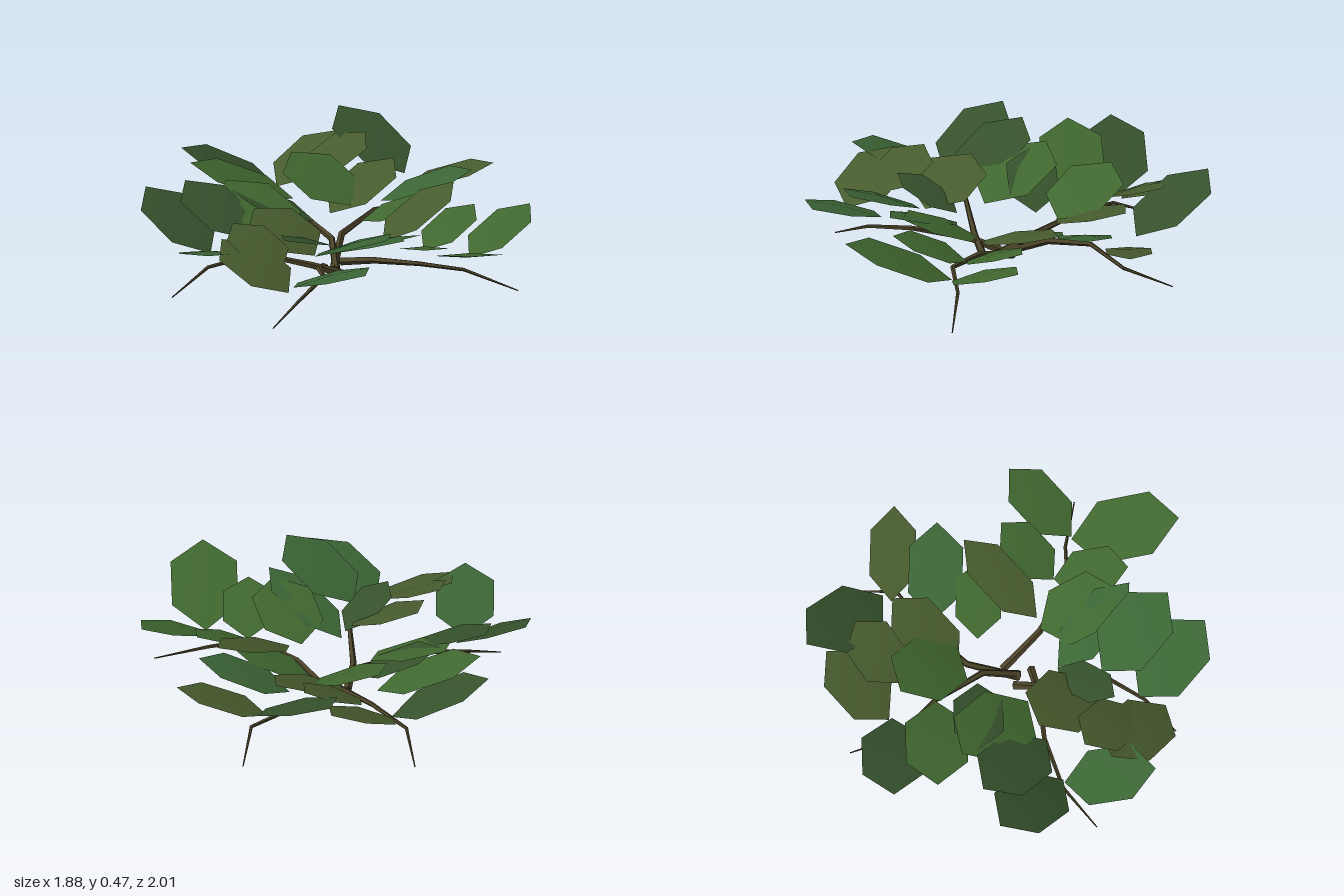
import * as THREE from 'three';

const BARK = 0x4a4228;
const GREENS = { leaf: 0x40682f, olive: 0x485c2e, deep: 0x36522c, cool: 0x3c6636 };

// Leaves: [x, z, heading of the raised tip in degrees, half length, half width, base height, rise, green]
const FRONT_LEAVES = [
  [0.05, 0.80, 133, 0.26, 0.16, 0.19, 0.22, 'leaf'],
  [0.02, 0.53, 135, 0.18, 0.12, 0.19, 0.15, 'leaf'],
  [-0.07, 0.35, 115, 0.20, 0.15, 0.20, 0.17, 'leaf'],
  [-0.18, 0.34, 90, 0.25, 0.11, 0.19, 0.20, 'cool'],
  [-0.37, 0.43, 90, 0.23, 0.15, 0.27, 0.20, 'cool'],
  [-0.57, 0.48, 90, 0.23, 0.15, 0.19, 0.17, 'cool'],
  [0.445, 0.62, 0, 0.21, 0.115, 0.19, 0.16, 'leaf'],
  [0.32, 0.40, 0, 0.175, 0.105, 0.19, 0.14, 'leaf'],
  [0.31, 0.20, 0, 0.245, 0.105, 0.20, 0.17, 'olive'],
  [0.32, 0.06, 48, 0.18, 0.11, 0.19, 0.13, 'leaf'],
];
const SIDE_LEAVES = [
  [0.56, 0.01, 48, 0.22, 0.13, 0.21, 0.17, 'cool'],
  [0.78, -0.06, 48, 0.22, 0.11, 0.19, 0.14, 'olive'],
  [-0.77, -0.16, 135, 0.22, 0.14, 0.19, 0.17, 'cool'],
  [-0.71, 0.10, -95, 0.21, 0.15, 0.19, 0.17, 'olive'],
  [-0.60, 0.01, -90, 0.17, 0.13, 0.25, 0.14, 'olive'],
  [-0.355, -0.05, -95, 0.19, 0.165, 0.23, 0.15, 'olive'],
  [-0.36, 0.10, 172, 0.17, 0.09, 0.23, 0.13, 'deep'],
];
const BACK_LEAVES = [
  [0.05, -0.82, -135, 0.235, 0.15, 0.19, 0.21, 'deep'],
  [-0.06, -0.63, -135, 0.25, 0.15, 0.22, 0.19, 'leaf'],
  [-0.20, -0.37, -90, 0.23, 0.17, 0.20, 0.17, 'leaf'],
  [-0.10, -0.38, -135, 0.20, 0.12, 0.19, 0.16, 'deep'],
  [-0.41, -0.45, -90, 0.22, 0.15, 0.23, 0.18, 'deep'],
  [-0.60, -0.53, -90, 0.22, 0.15, 0.19, 0.22, 'deep'],
  [0.69, -0.49, -85, 0.245, 0.15, 0.25, 0.20, 'deep'],
  [0.43, -0.67, 0, 0.21, 0.13, 0.19, 0.17, 'olive'],
  [0.465, -0.50, 8, 0.17, 0.125, 0.27, 0.14, 'olive'],
  [0.23, -0.38, -90, 0.20, 0.165, 0.23, 0.165, 'leaf'],
  [0.38, -0.25, 0, 0.22, 0.13, 0.19, 0.16, 'olive'],
];

// Stem centre lines, from the middle out to the drooping tips
const STEMS = [
  [[0.045, 0.03, -0.06], [0.03, 0.11, 0.18], [0.08, 0.15, 0.43], [0.24, 0.115, 0.58], [0.39, 0.025, 0.80]],
  [[-0.05, 0.02, -0.08], [-0.18, 0.08, 0.01], [-0.36, 0.15, 0.22], [-0.58, 0.115, 0.28], [-0.78, 0.025, 0.29]],
  [[-0.05, 0.02, 0.04], [-0.18, 0.08, -0.04], [-0.38, 0.15, -0.21], [-0.61, 0.115, -0.32], [-0.845, 0.025, -0.33]],
  [[-0.03, 0.02, -0.02], [0.08, 0.11, -0.16], [0.14, 0.15, -0.44], [0.15, 0.115, -0.69], [0.28, 0.025, -0.88]],
  [[-0.04, 0.02, -0.03], [0.17, 0.10, -0.18], [0.42, 0.15, -0.20], [0.67, 0.115, -0.15], [0.865, 0.025, -0.29]],
];
const RADII = [0.021, 0.017, 0.012, 0.009, 0.003];

// Six-sided blade, raised towards the tip and gently domed
function leafGeometry(length, width, rise) {
  const outline = [[-1, 0], [-0.48, -1], [0.48, -1], [1, 0], [0.48, 1], [-0.48, 1]];
  const positions = [0, rise / 2 + 0.022, 0];
  const index = [];
  outline.forEach(([u, v], i) => {
    positions.push(u * length, (rise * (u + 1)) / 2 + Math.abs(v) * 0.01, v * width);
    index.push(0, ((i + 1) % 6) + 1, i + 1);
  });
  const geometry = new THREE.BufferGeometry();
  geometry.setAttribute('position', new THREE.Float32BufferAttribute(positions, 3));
  geometry.setIndex(index);
  geometry.computeVertexNormals();
  return geometry;
}

// Tapered five-sided stem with a ring of corners at each bend
function stemGeometry(points, sides = 5) {
  const path = points.map((p) => new THREE.Vector3(...p));
  const positions = [];
  const index = [];
  const up = new THREE.Vector3(0, 1, 0);
  path.forEach((p, i) => {
    const along = path[Math.min(i + 1, 4)].clone().sub(path[Math.max(i - 1, 0)]).normalize();
    const across = new THREE.Vector3().crossVectors(along, up).normalize();
    const over = new THREE.Vector3().crossVectors(across, along);
    for (let j = 0; j < sides; j++) {
      const a = (j / sides) * Math.PI * 2;
      const corner = p.clone()
        .addScaledVector(across, Math.cos(a) * RADII[i])
        .addScaledVector(over, Math.sin(a) * RADII[i]);
      positions.push(corner.x, corner.y, corner.z);
      if (i < path.length - 1) {
        const b = i * sides + j;
        const c = i * sides + ((j + 1) % sides);
        index.push(b, c + sides, c, b, b + sides, c + sides);
      }
    }
  });
  // end caps
  const last = (path.length - 1) * sides;
  for (let j = 1; j < sides - 1; j++) {
    index.push(0, j, j + 1, last, last + j + 1, last + j);
  }
  const geometry = new THREE.BufferGeometry();
  geometry.setAttribute('position', new THREE.Float32BufferAttribute(positions, 3));
  geometry.setIndex(index);
  geometry.computeVertexNormals();
  return geometry;
}

export function createModel() {
  const plant = new THREE.Group();
  plant.name = 'lowPlant';

  const stems = new THREE.Group();
  stems.name = 'stems';
  const bark = new THREE.MeshStandardMaterial({ color: BARK, flatShading: true, side: THREE.DoubleSide });
  for (const points of STEMS) {
    const stem = new THREE.Mesh(stemGeometry(points), bark);
    stem.name = 'stem';
    stems.add(stem);
  }
  plant.add(stems);

  const greens = {};
  for (const [key, color] of Object.entries(GREENS)) {
    greens[key] = new THREE.MeshStandardMaterial({ color, side: THREE.DoubleSide });
  }
  const clusters = { frontLeaves: FRONT_LEAVES, sideLeaves: SIDE_LEAVES, backLeaves: BACK_LEAVES };
  for (const [name, list] of Object.entries(clusters)) {
    const cluster = new THREE.Group();
    cluster.name = name;
    for (const [x, z, heading, length, width, base, rise, green] of list) {
      const leaf = new THREE.Mesh(leafGeometry(length, width, rise), greens[green]);
      leaf.name = 'leaf';
      leaf.position.set(x, base, z);
      leaf.rotation.y = -THREE.MathUtils.degToRad(heading);
      cluster.add(leaf);
    }
    plant.add(cluster);
  }
  return plant;
}
